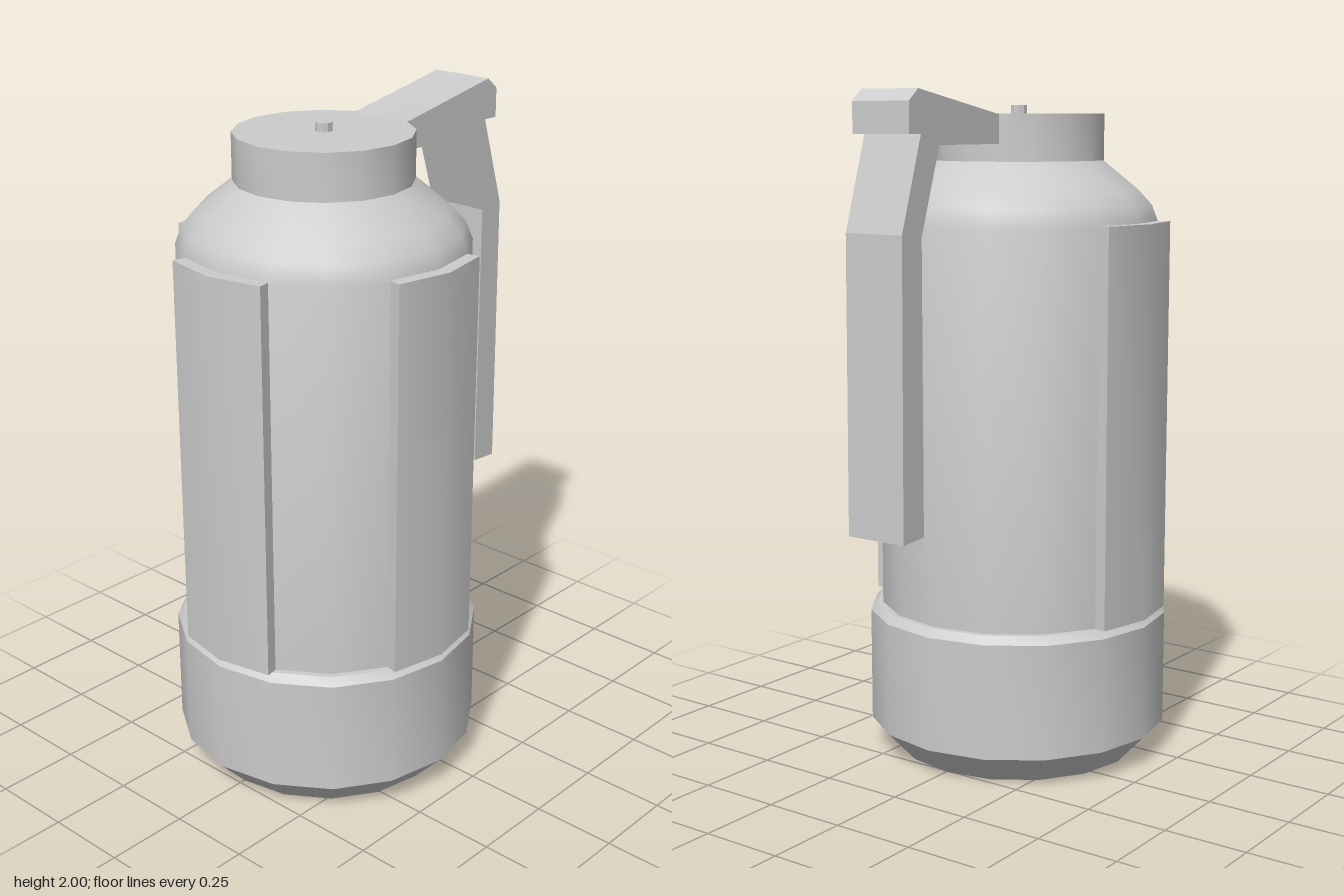
import * as THREE from 'three';
import { toCreasedNormals } from 'three/addons/utils/BufferGeometryUtils.js';

const AXIS_Z = 0.113; // the canister axis sits forward of the lever
const SIDES = 16;
const material = new THREE.MeshStandardMaterial({ color: 0xcccccc });

const points = (list) => list.map(([x, y]) => new THREE.Vector2(x, y));

function addMesh(parent, name, geometry, crease = 0.6) {
  const mesh = new THREE.Mesh(toCreasedNormals(geometry, crease), material);
  mesh.name = name;
  parent.add(mesh);
  return mesh;
}

function lathe(profile, sides = SIDES) {
  return new THREE.LatheGeometry(points(profile), sides);
}

// Side profile given as [z, y], extruded across x and centred
function sideExtrude(profile, width) {
  const shape = new THREE.Shape(points(profile.map(([z, y]) => [-z, y])));
  const geometry = new THREE.ExtrudeGeometry(shape, { depth: width, bevelEnabled: false });
  return geometry.rotateY(Math.PI / 2).translate(-width / 2, 0, 0);
}

export function createModel() {
  const model = new THREE.Group();
  model.name = 'canister';

  const round = new THREE.Group();
  round.name = 'roundParts';
  round.position.z = AXIS_Z;
  model.add(round);

  // Base cup with chamfered foot and thin rim
  addMesh(round, 'baseCup', lathe([
    [0, 0], [0.37, 0], [0.457, 0.093], [0.457, 0.437], [0.437, 0.46], [0.38, 0.46],
  ]));

  // Body with rounded shoulder
  addMesh(round, 'body', lathe([
    [0.42, 0.42], [0.42, 1.62], [0.4, 1.672], [0.36, 1.715], [0.25, 1.803], [0, 1.803],
  ]));

  // Cap and centre pin
  addMesh(round, 'cap', lathe([[0, 1.8], [0.256, 1.8], [0.256, 1.935], [0, 1.935]]));
  addMesh(round, 'pin', lathe([[0.025, 1.93], [0.025, 1.96], [0, 1.96]], 10));

  // Raised panels on the front and both sides, each wrapping two facets
  const panelShape = new THREE.Shape(points([
    [-0.168, -0.424], [0, -0.458], [0.168, -0.424],
    [0.16, -0.383], [0, -0.415], [-0.16, -0.383],
  ]));
  const panelNames = ['rightPanel', 'frontPanel', 'leftPanel'];
  panelNames.forEach((name, i) => {
    const geometry = new THREE.ExtrudeGeometry(panelShape, { depth: 1.165, bevelEnabled: false });
    geometry.rotateX(-Math.PI / 2).translate(0, 0.46, 0);
    addMesh(round, name, geometry).rotation.y = (i - 1) * Math.PI / 2;
  });

  // Arm reaching back from the cap, ending in a hooked head
  const width = 0.196;
  addMesh(model, 'arm', sideExtrude([
    [0, 1.85], [-0.4, 1.85], [-0.48, 1.88], [-0.53, 1.88], [-0.53, 1.967],
    [-0.49, 2], [-0.137, 1.935], [0, 1.935],
  ].reverse(), width), 0.2);

  // Bent lever hanging from the arm
  addMesh(model, 'lever', sideExtrude([
    [-0.4, 1.85], [-0.48, 1.605], [-0.48, 0.777], [-0.57, 0.77],
    [-0.564, 1.615], [-0.48, 1.88],
  ], width), 0.2);

  return model;
}
